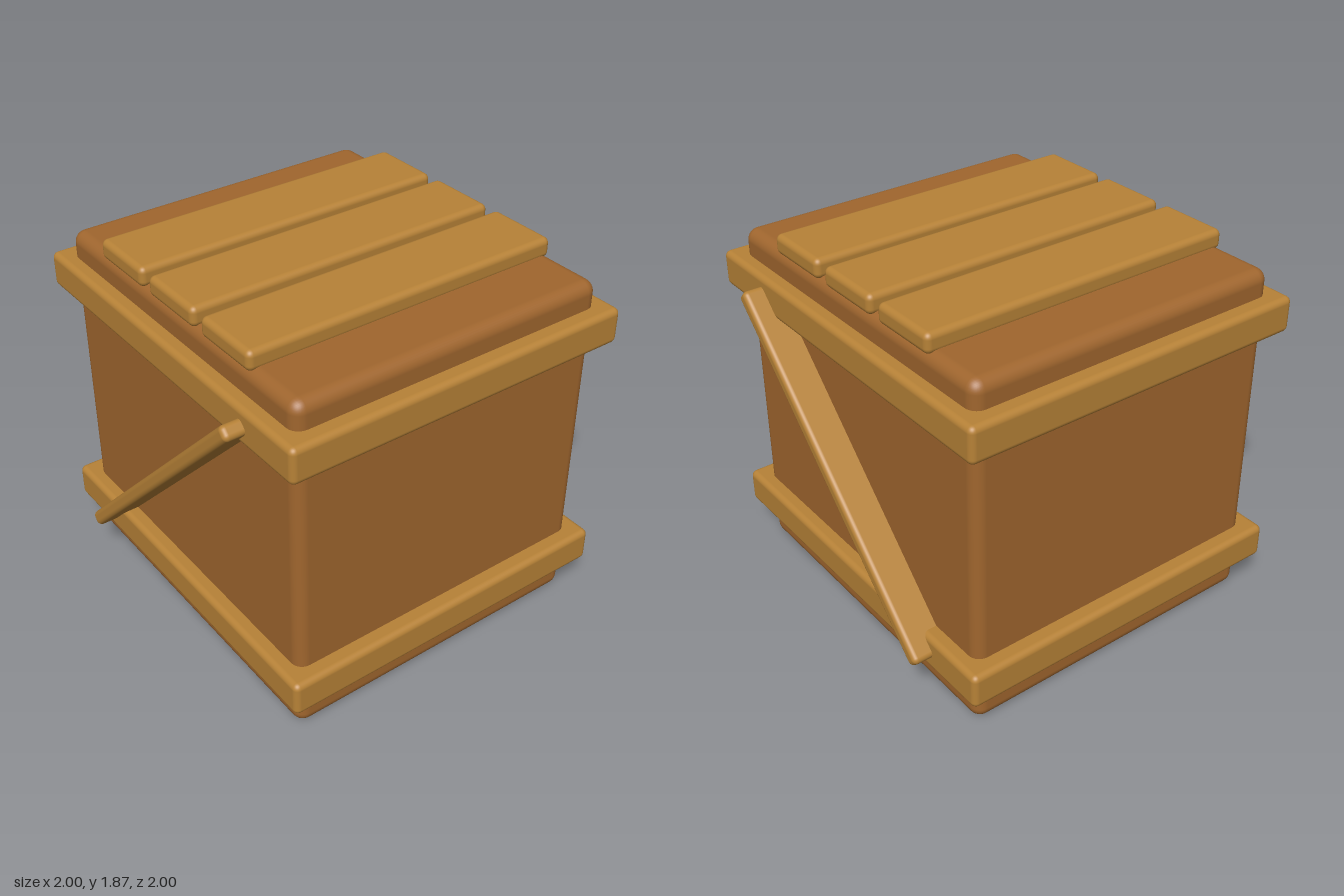
import * as THREE from 'three';
import { RoundedBoxGeometry } from 'three/addons/geometries/RoundedBoxGeometry.js';

export function createModel() {
  const crate = new THREE.Group();
  crate.name = 'crate';

  const darkWood = new THREE.MeshStandardMaterial({ color: 0xa0662e });
  darkWood.name = 'dark wood';
  const lightWood = new THREE.MeshStandardMaterial({ color: 0xb78237 });
  lightWood.name = 'light wood';

  // Adds a block with rounded edges, centred on (x, y, z)
  function block(name, material, [w, h, d], radius, [x, y, z]) {
    const mesh = new THREE.Mesh(new RoundedBoxGeometry(w, h, d, 4, radius), material);
    mesh.name = name;
    mesh.position.set(x, y, z);
    crate.add(mesh);
    return mesh;
  }

  // Main box
  block('body', darkWood, [1.835, 1.79, 1.655], 0.06, [0, 0.895, 0]);

  // Bands around the box
  block('lowerBand', lightWood, [2, 0.18, 1.805], 0.03, [0, 0.28, 0]);
  block('upperBand', lightWood, [2, 0.18, 1.805], 0.03, [0, 1.57, 0]);

  // Planks on the lid
  [-0.425, -0.003, 0.42].forEach((x, i) => {
    block('lidPlank' + (i + 1), lightWood, [0.365, 0.1, 1.655], 0.03, [x, 1.82, 0]);
  });

  // Diagonal braces on the front and back, rising towards +x
  for (const side of [1, -1]) {
    const name = side > 0 ? 'frontBrace' : 'backBrace';
    const brace = block(name, lightWood, [1.88, 0.075, 0.2], 0.026, [-0.003, 0.925, side * 0.9]);
    brace.rotation.z = Math.PI / 4;
  }

  return crate;
}
